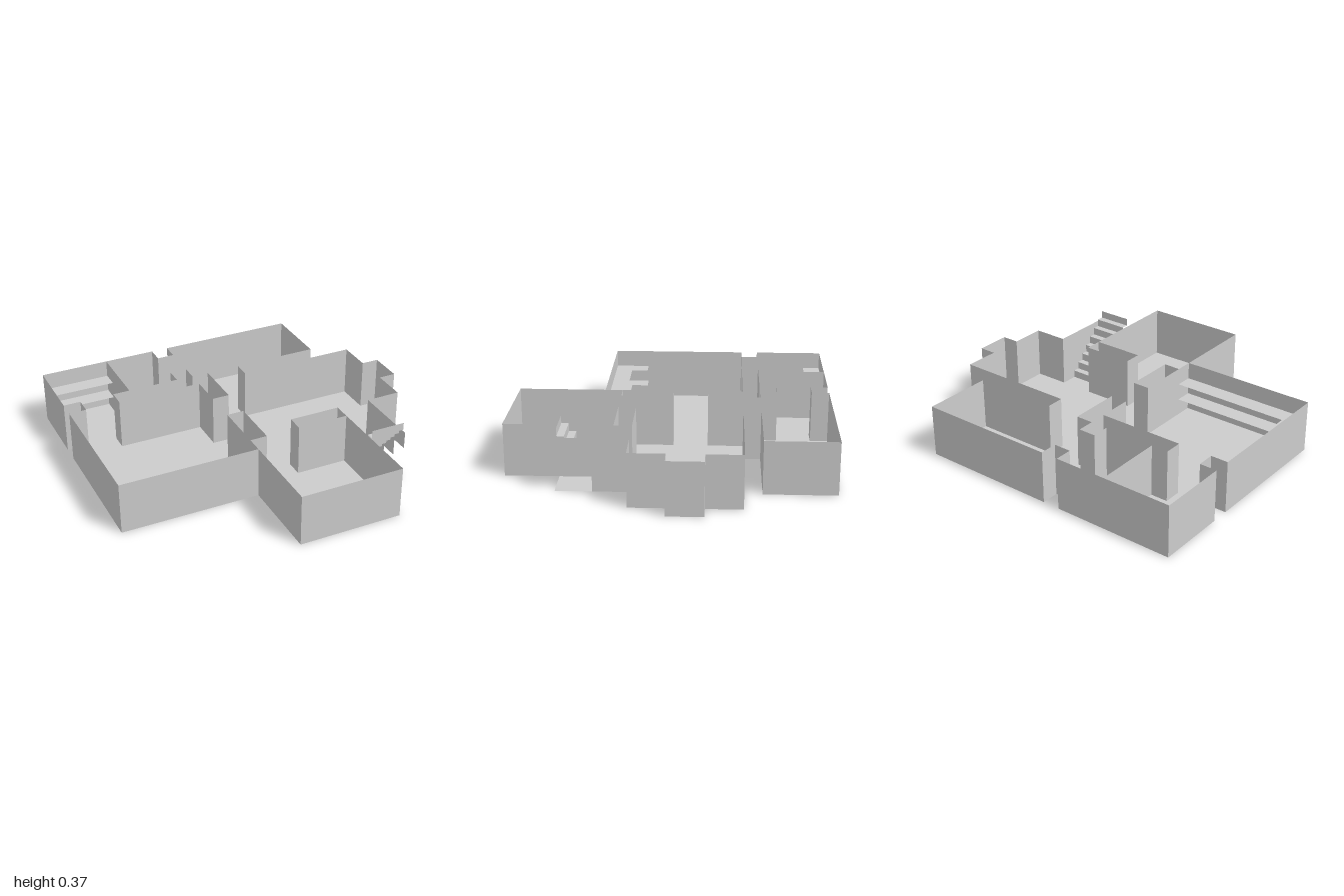
import * as THREE from 'three';

// One grid cell; the plan is 19 cells wide (x) and 18 deep (z)
const U = 2 / 19, H = 3;
const px = (x) => (x - 9.5) * U;
const pz = (z) => (z - 9) * U;

const material = new THREE.MeshStandardMaterial({ color: 0xcccccc, side: THREE.DoubleSide, flatShading: true });

// Wall runs on the outside, from the stair passage round to the front room
const outerWall = [
  [16, 13], [16, 11], [18, 11], [18, 9], [19, 9], [19, 7], [18, 7], [18, 5], [11, 5], [11, 4],
  [16, 4], [16, 0], [8, 0], [8, 1], [7, 1], [7, 0], [0, 0], [0, 4], [1, 4], [1, 5],
  [0, 5], [0, 13], [8, 13],
];
const frontRoomWall = [[8, 13], [8, 18], [14, 18], [14, 12]];

// Voids enclosed between the rooms
const voids = [
  [[7, 3], [8, 3], [8, 4], [9, 4], [9, 7], [8, 7], [8, 5], [3, 5], [3, 4], [7, 4]],
  [[8, 9], [9, 9], [9, 12], [8, 12]],
  [[11, 11], [14, 11], [14, 12], [11, 12]],
];

function add(group, name, geometry) {
  const mesh = new THREE.Mesh(geometry, material);
  mesh.name = name;
  group.add(mesh);
  return mesh;
}

// Flat horizontal sheet from plan corners, facing up
function sheet(group, name, corners, y, holes = []) {
  const toPoints = (list) => list.map(([x, z]) => new THREE.Vector2(px(x), -pz(z)));
  const shape = new THREE.Shape(toPoints(corners));
  shape.holes = holes.map((h) => new THREE.Path(toPoints(h)));
  const geometry = new THREE.ShapeGeometry(shape);
  geometry.rotateX(-Math.PI / 2);
  geometry.translate(0, y * U, 0);
  return add(group, name, geometry);
}

// Upright panel between two plan points
function panel(group, name, [x0, z0], [x1, z1], y0 = 0, y1 = H) {
  const geometry = new THREE.PlaneGeometry(Math.hypot(x1 - x0, z1 - z0) * U, (y1 - y0) * U);
  geometry.rotateY(-Math.atan2(z1 - z0, x1 - x0));
  geometry.translate(px((x0 + x1) / 2), ((y0 + y1) / 2) * U, pz((z0 + z1) / 2));
  return add(group, name, geometry);
}

function wallRun(group, name, points, closed = false) {
  const last = closed ? points.length : points.length - 1;
  for (let i = 0; i < last; i++) panel(group, name, points[i], points[(i + 1) % points.length]);
}

export function createModel() {
  const model = new THREE.Group();
  model.name = 'floorPlan';

  // Floor of all rooms and passages
  const floorOutline = [
    ...outerWall, [8, 18], [14, 18], [14, 15], [16, 15],
  ];
  sheet(model, 'floor', floorOutline, 0, voids);

  // Walls
  const walls = new THREE.Group();
  walls.name = 'walls';
  model.add(walls);
  wallRun(walls, 'outerWall', outerWall);
  wallRun(walls, 'frontRoomWall', frontRoomWall);
  voids.forEach((v) => wallRun(walls, 'innerWall', v, true));
  panel(walls, 'sharedWall', [8, 12], [8, 13]);
  panel(walls, 'partitionWall', [4, 0], [4, 4]);

  // Wall beside the stairs, stepping up underneath
  for (let i = 1; i < 3; i++) panel(walls, 'stairSideWall', [16, 12 + i], [16, 13 + i], i, H);

  // Shelves along the walls of the two rooms
  const shelves = new THREE.Group();
  shelves.name = 'shelves';
  model.add(shelves);
  for (const y of [1, 2]) {
    sheet(shelves, 'backRoomShelf', [[0, 0], [4, 0], [4, 1], [0, 1]], y);
    sheet(shelves, 'largeRoomShelf', [[0, 11], [1, 11], [1, 12], [8, 12], [8, 13], [0, 13]], y);
  }

  // Thin staircase: eight risers joined by seven treads
  const stairs = new THREE.Group();
  stairs.name = 'stairs';
  model.add(stairs);
  const rise = 3.53 / 8, run = 0.4;
  for (let i = 0; i < 8; i++) {
    const z = 12 + i * run, y = (i + 1) * rise;
    panel(stairs, 'riser', [14, z], [16, z], y - rise, y);
    if (i < 7) sheet(stairs, 'tread', [[14, z], [16, z], [16, z + run], [14, z + run]], y);
  }

  return model;
}
